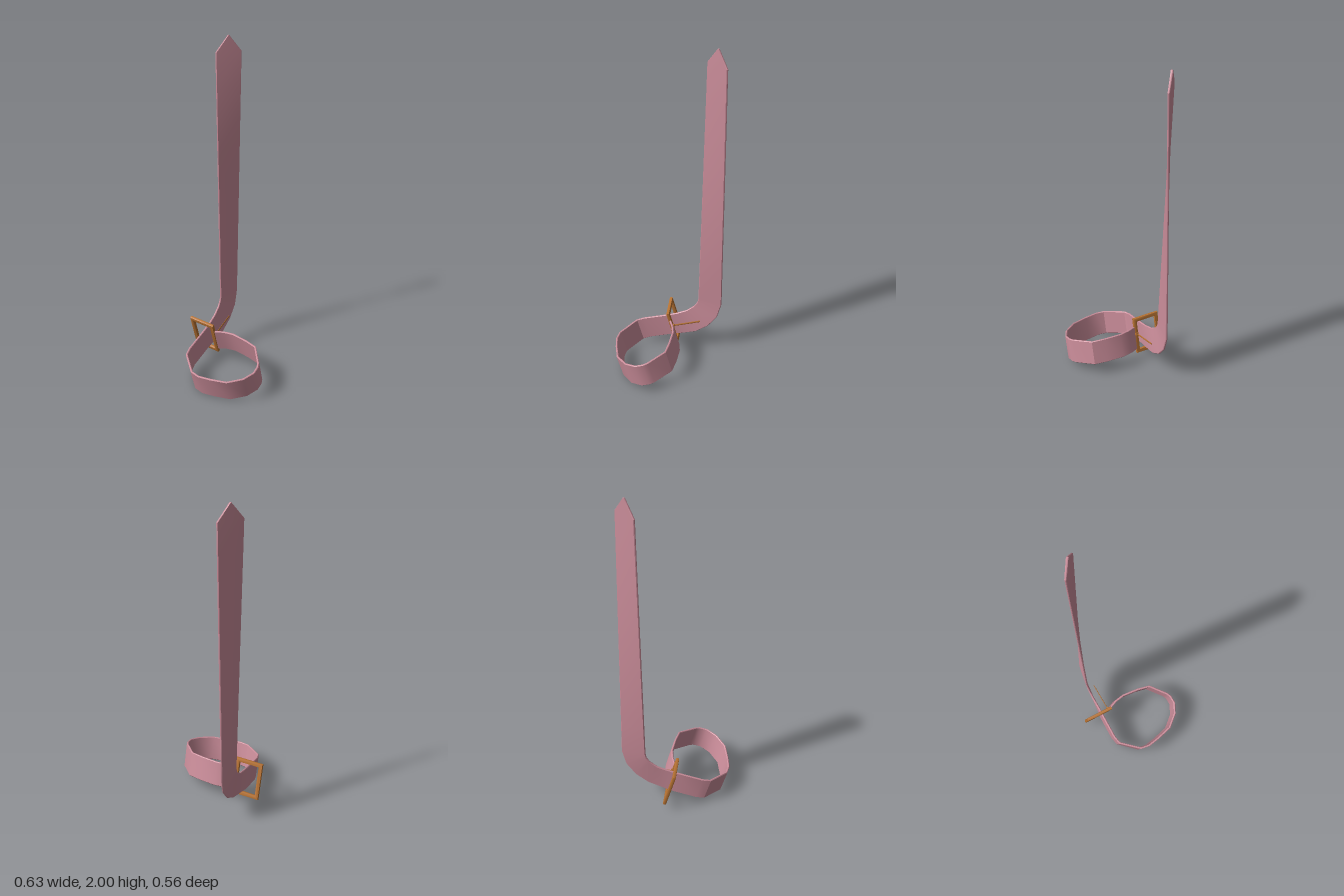
import * as THREE from 'three';
import { toCreasedNormals } from 'three/addons/utils/BufferGeometryUtils.js';

const TILT = 0.262; // the loop and buckle lean by 15 degrees
const V = (x, y, z) => new THREE.Vector3(x, y, z);
const along = V(Math.cos(TILT), Math.sin(TILT), 0);
const across = V(-Math.sin(TILT), Math.cos(TILT), 0);

// Sweeps a thin chamfered section through pairs of edge points
function ribbon(pairs, thickness) {
  const h = thickness / 2, c = h * 0.6;
  const mids = pairs.map(([a, b]) => a.clone().lerp(b, 0.5));
  const pos = [], idx = [], m = 8, last = pairs.length - 1;
  pairs.forEach(([a, b], i) => {
    const t = mids[Math.min(i + 1, last)].clone().sub(mids[Math.max(i - 1, 0)]);
    const w = a.clone().sub(b), half = w.length() / 2;
    w.normalize();
    const n = t.cross(w).normalize();
    const k = Math.max(half - c, half * 0.5);
    const ring = [[half, -h + c], [half, h - c], [k, h], [-k, h],
      [-half, h - c], [-half, -h + c], [-k, -h], [k, -h]];
    for (const [p, q] of ring) {
      pos.push(...mids[i].clone().addScaledVector(w, p).addScaledVector(n, q).toArray());
    }
  });
  for (let i = 0; i < last; i++) {
    for (let j = 0; j < m; j++) {
      const a = i * m + j, b = i * m + (j + 1) % m;
      idx.push(a, b, b + m, a, b + m, a + m);
    }
  }
  for (let j = 1; j < m - 1; j++) {
    idx.push(0, j + 1, j, last * m, last * m + j, last * m + j + 1);
  }
  const g = new THREE.BufferGeometry();
  g.setAttribute('position', new THREE.Float32BufferAttribute(pos, 3));
  g.setIndex(idx);
  return toCreasedNormals(g, 0.5);
}

function strapPairs() {
  const pairs = [];
  // closed loop: top edge seen from above, as x, z
  const loop = [[0.004, -0.112], [0.025, -0.06], [0.036, 0], [0.028, 0.1], [0.013, 0.177],
    [-0.08, 0.26], [-0.105, 0.272], [-0.15, 0.275], [-0.213, 0.245], [-0.275, 0.172],
    [-0.3, 0.075], [-0.313, 0], [-0.304, -0.055], [-0.215, -0.16], [-0.17, -0.172], [-0.02, -0.176]];
  for (const [x, z] of loop) {
    const mid = V(x + 0.02, 0.156 + 0.268 * (x + 0.02), z);
    pairs.push([0.0775, -0.0775].map(d => mid.clone().addScaledVector(across, d)));
  }
  // bend that turns the strap upright
  pairs.push(
    [V(0.04, 0.25, -0.178), V(0.08, 0.1, -0.17)],
    [V(0.1, 0.275, -0.183), V(0.16, 0.127, -0.165)],
    [V(0.145, 0.312, -0.186), V(0.235, 0.182, -0.163)],
    [V(0.165, 0.345, -0.187), V(0.29, 0.26, -0.162)]);
  // long shaft, twisting slowly towards the tip
  const low = [V(0.17, 0.375, -0.187), V(0.314, 0.36, -0.163)];
  const high = [V(0.182, 1.91, -0.218), V(0.294, 1.91, -0.126)];
  for (let i = 0; i <= 8; i++) pairs.push(low.map((p, k) => p.clone().lerp(high[k], i / 8)));
  // pointed end
  pairs.push([V(0.236, 2, -0.175), V(0.242, 2, -0.17)]);
  return pairs;
}

// Rectangular frame with bevelled bars, lying across the strap
function buckleFrame() {
  const W = 0.16, H = 0.224, bar = 0.014, bevel = 0.005;
  const rect = (P, w, h) => new P([[-w, -h], [w, -h], [w, h], [-w, h]]
    .map(([x, y]) => new THREE.Vector2(x / 2, y / 2)));
  const shape = rect(THREE.Shape, W, H);
  shape.holes.push(rect(THREE.Path, W - 2 * bar, H - 2 * bar));
  const g = new THREE.ExtrudeGeometry(shape, {
    depth: 0.01, bevelSize: bevel, bevelThickness: bevel, bevelSegments: 2 });
  g.translate(0, 0, -0.005);
  g.rotateY(Math.PI / 2);
  g.rotateZ(TILT);
  g.translate(0.018, 0.175, -0.195);
  return toCreasedNormals(g, 0.6);
}

export function createModel() {
  const group = new THREE.Group();
  const leather = new THREE.MeshStandardMaterial({ color: 0xcc8e9b });
  const brass = new THREE.MeshStandardMaterial({ color: 0xb87333 });
  const add = (name, geometry, material) => {
    const mesh = new THREE.Mesh(geometry, material);
    mesh.name = name;
    group.add(mesh);
    return mesh;
  };
  add('strap', ribbon(strapPairs(), 0.012), leather);
  add('buckleFrame', buckleFrame(), brass);

  // flat prong reaching from the front bar along the strap
  const from = V(0.02, 0.19, -0.124), to = V(0.188, 0.235, -0.134);
  const prong = add('prong', new THREE.CylinderGeometry(0.006, 0.006, from.distanceTo(to), 8), brass);
  prong.scale.z = 0.4;
  prong.position.copy(from).lerp(to, 0.5);
  prong.quaternion.setFromUnitVectors(V(0, 1, 0), to.clone().sub(from).normalize());
  // sleeve that hinges the prong on the bar
  const hinge = add('prongHinge', new THREE.CylinderGeometry(0.013, 0.013, 0.016, 10), brass);
  hinge.position.set(0.018, 0.19, -0.122);
  hinge.rotation.z = TILT;
  return group;
}
